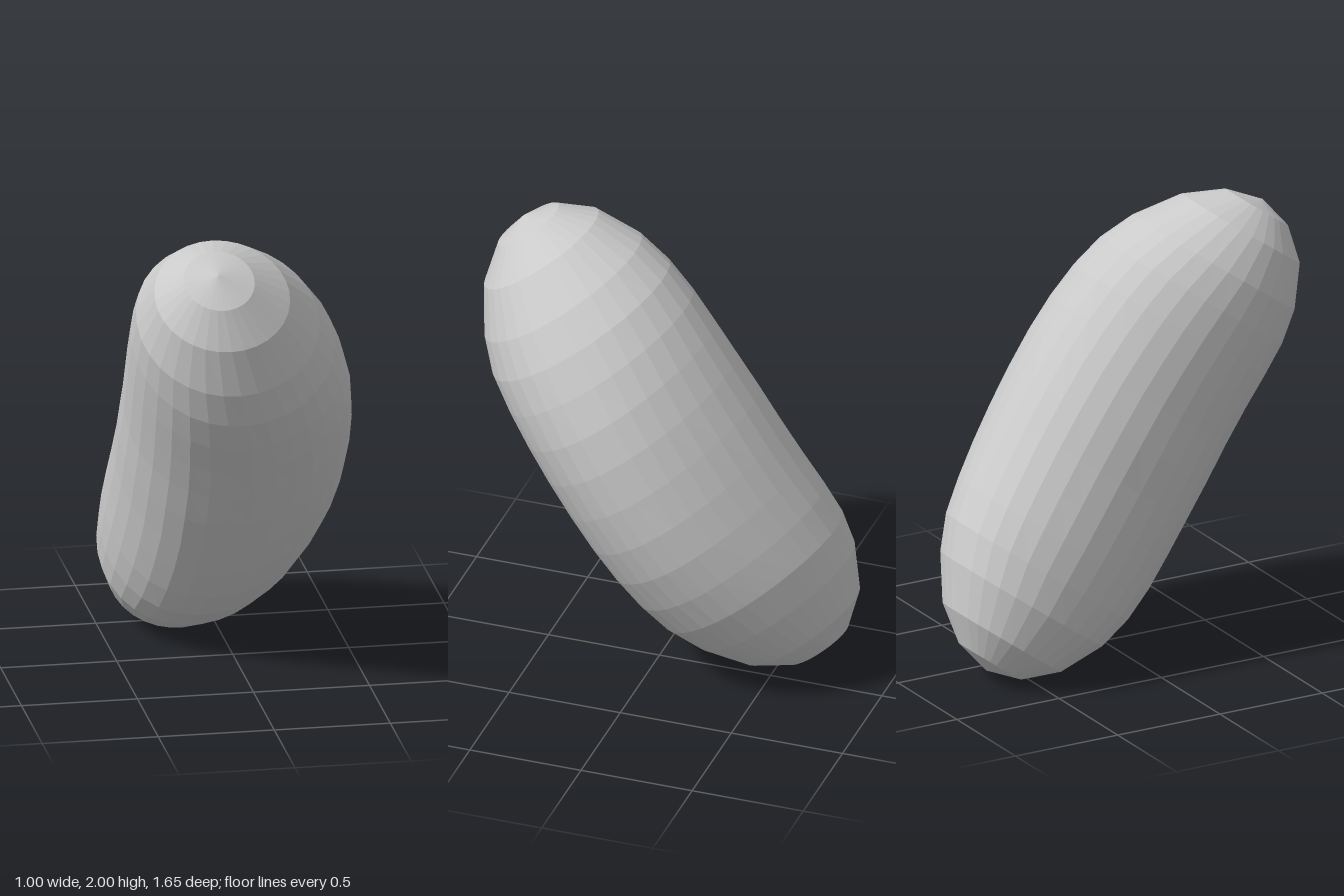
import * as THREE from 'three';

// Rings from the upper tip to the waist:
// [height along the axis, sideways shift, half width, half depth, shift toward the back]
// The lower half repeats them, turned half way round the sideways axis.
const RINGS = [
  [1.16, -0.185, 0, 0, 0], [1.118, -0.175, 0.152, 0.155, 0], [1.005, -0.15, 0.29, 0.292, 0],
  [0.823, -0.106, 0.392, 0.402, 0.006], [0.67, -0.067, 0.436, 0.454, 0.01],
  [0.515, -0.037, 0.463, 0.472, 0.014], [0.35, -0.012, 0.482, 0.478, 0.013],
  [0.18, 0.002, 0.491, 0.482, 0.008], [0, 0.005, 0.495, 0.484, 0],
];
const LENGTH = RINGS[0][0];
const LAT = 2 * (RINGS.length - 1);

export function createModel() {
  const group = new THREE.Group();
  group.name = 'bean';

  const grey = new THREE.MeshStandardMaterial({ color: 0xcacaca, flatShading: true });
  grey.name = 'light grey';

  // Bend and stretch a sphere into a bean, ring by ring
  const geometry = new THREE.SphereGeometry(1, 32, LAT);
  const p = geometry.attributes.position;
  for (let i = 0; i < p.count; i++) {
    const y = THREE.MathUtils.clamp(p.getY(i), -1, 1);
    const ring = Math.round((Math.acos(y) / Math.PI) * LAT);
    const [height, shift, width, depth, back] = RINGS[Math.min(ring, LAT - ring)];
    const side = ring <= LAT / 2 ? 1 : -1;
    const r = Math.max(Math.sqrt(1 - y * y), 1e-6);
    const c = p.getX(i) / r;
    // The cross-section is egg shaped, narrower on the outer side of the bend, most of all low down
    const t = (side * height) / LENGTH;
    const egg = 1 - (0.15 - 0.1 * t) * (1 - t * t) * c;
    p.setXYZ(i, shift + c * width, side * height, (p.getZ(i) / r) * depth * egg - side * back);
  }

  // Lean the top toward the front and stand it on the ground
  geometry.rotateX(THREE.MathUtils.degToRad(35.7));
  geometry.computeBoundingBox();
  geometry.translate(0, -geometry.boundingBox.min.y, 0);
  geometry.computeVertexNormals();

  const body = new THREE.Mesh(geometry, grey);
  body.name = 'beanBody';
  group.add(body);
  return group;
}
